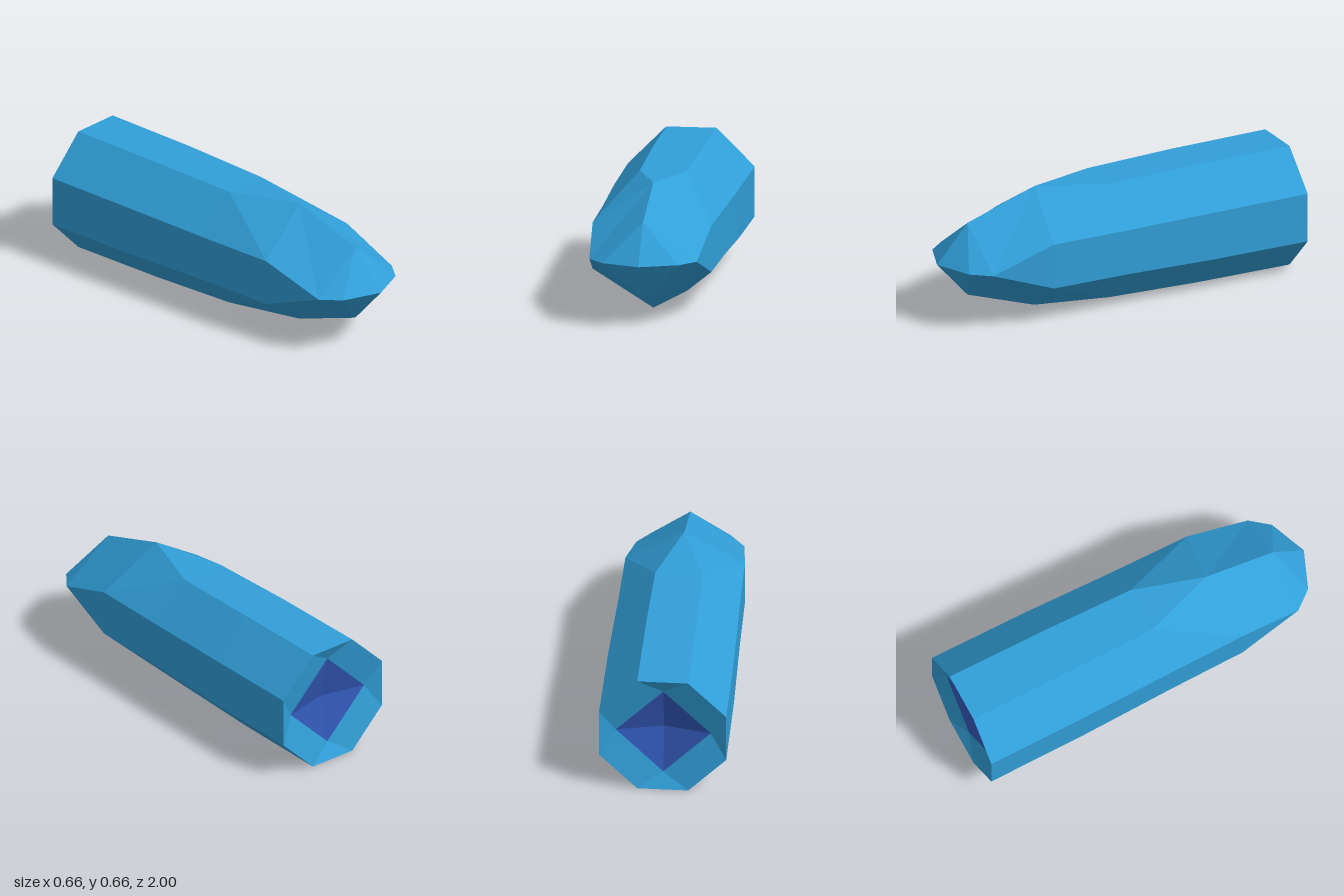
import * as THREE from 'three';

const MID = 0.33; // height of the long axis

// Builds a mesh from faces of one quadrant (x, y >= 0), mirrored into all four.
function quadMirrored(name, faces, material) {
  const pos = [];
  for (const sx of [1, -1]) for (const sy of [1, -1]) {
    for (const f of faces) {
      const loop = sx * sy > 0 ? f : [...f].reverse();
      for (let i = 1; i < loop.length - 1; i++) {
        for (const p of [loop[0], loop[i], loop[i + 1]]) pos.push(p[0] * sx, MID + p[1] * sy, p[2]);
      }
    }
  }
  const geo = new THREE.BufferGeometry();
  geo.setAttribute('position', new THREE.Float32BufferAttribute(pos, 3));
  geo.computeVertexNormals();
  const mesh = new THREE.Mesh(geo, material);
  mesh.name = name;
  return mesh;
}

// Quarter of an octagonal cross-section: top centre, top corner, side corner, side centre.
const ring = (h, c, z) => [[0, h, z], [c, h, z], [h, c, z], [h, 0, z]];

export function createModel() {
  const blue = new THREE.MeshStandardMaterial({ color: 0x319fd8, flatShading: true });
  blue.name = 'hullBlue';
  const indigo = new THREE.MeshStandardMaterial({ color: 0x3157b5, flatShading: true });
  indigo.name = 'recessIndigo';

  const group = new THREE.Group();
  group.name = 'facetedCapsule';

  const rings = [ring(0.316, 0.122, 0.05), ring(0.327, 0.13, -0.45), ring(0.33, 0.132, -1)];

  // Faceted nose: tip, upper crest points, side points and shoulder corner
  const tip = [0, 0, 1], brow = [0, 0.2, 0.82], crest = [0, 0.33, 0.43];
  const lip = [0.2, 0, 0.92], cheek = [0.28, 0, 0.82];
  const shoulder = [0.31, 0.122, 0.48], shoulderMid = [0.31, 0, 0.48];
  const [t0, t, s, s0] = rings[0];
  group.add(quadMirrored('nose', [
    [tip, lip, brow], [brow, lip, cheek], [brow, cheek, crest],
    [crest, cheek, shoulder], [cheek, shoulderMid, shoulder],
    [crest, shoulder, t], [t, shoulder, s], [crest, t, t0],
    [shoulder, shoulderMid, s0, s],
  ], blue));

  // Octagonal body
  const body = [];
  for (let i = 0; i < rings.length - 1; i++) {
    for (let k = 0; k < 3; k++) {
      body.push([rings[i][k], rings[i][k + 1], rings[i + 1][k + 1], rings[i + 1][k]]);
    }
  }
  group.add(quadMirrored('body', body, blue));

  // Rear end: sloped rim sinking to a diamond, then a shallow hollow pyramid
  const [b0, b1, b2, b3] = rings[2];
  const top = [0, 0.246, -0.957], side = [0.246, 0, -0.957], deep = [0, 0, -0.9];
  group.add(quadMirrored('rearRim', [[b0, b1, top], [top, b1, b2, side], [side, b2, b3]], blue));
  group.add(quadMirrored('rearRecess', [[deep, top, side]], indigo));

  return group;
}
